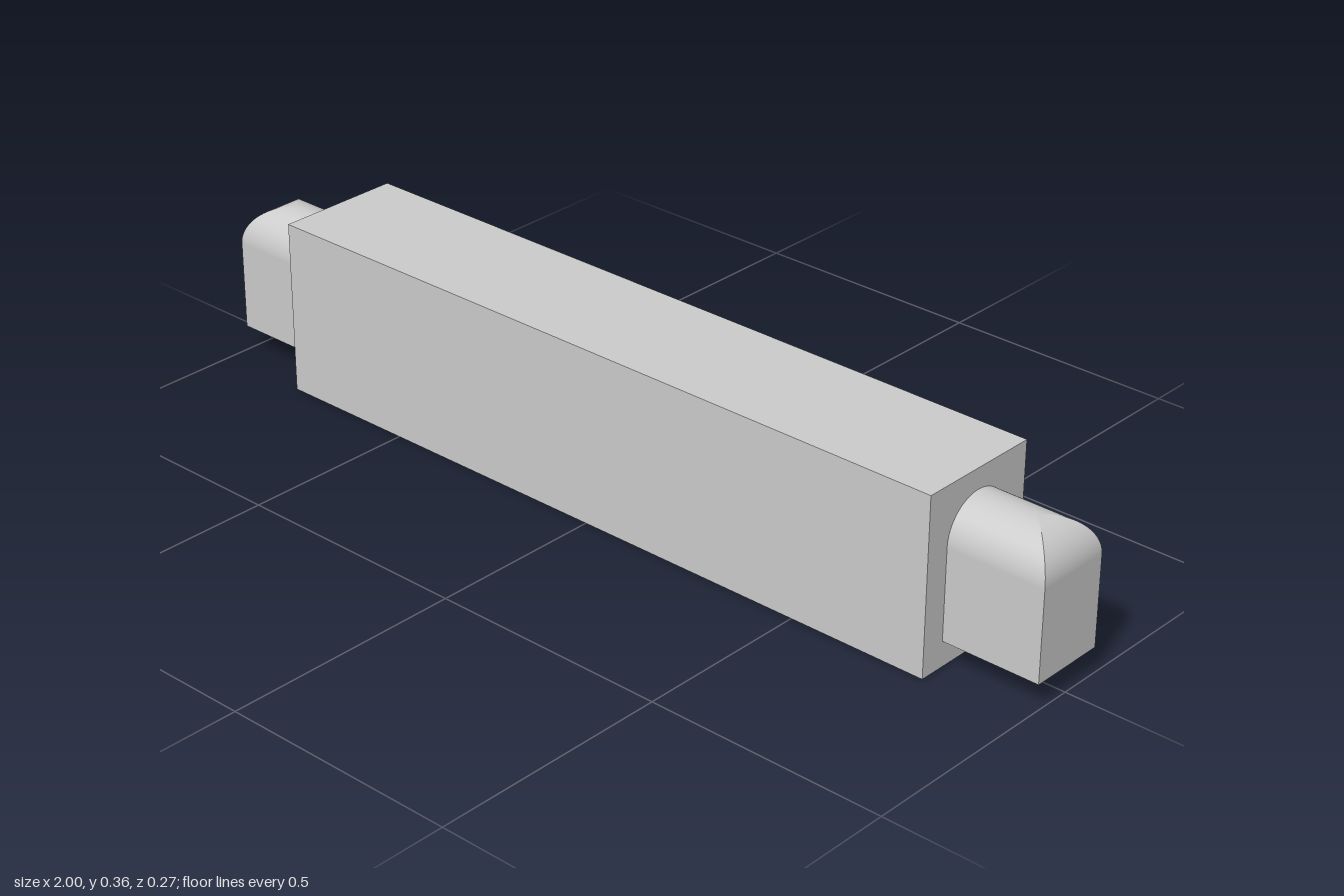
import * as THREE from 'three';

const BODY = { halfLength: 0.795, height: 0.363, depth: 0.267 };
const TENON = { bottom: 0.053, top: 0.32, radius: 0.081, end: 1 };
const STEPS = 20;

// Arched tenon whose rounded top also rolls over the free end, meeting in mitred edges
function tenonGeometry() {
  const { bottom, top, radius, end } = TENON;
  const x0 = BODY.halfLength;

  // Profile rows: height, half width, slope angle of the surface
  const rows = [{ y: bottom, w: radius, a: 0 }];
  for (let i = 0; i <= STEPS; i++) {
    const a = (i / STEPS) * Math.PI / 2;
    rows.push({ y: top - radius + radius * Math.sin(a), w: radius * Math.cos(a), a });
  }

  const positions = [], normals = [], indices = [];
  const addVertex = (p, n) => {
    positions.push(...p);
    normals.push(...n);
  };

  // Footprint corners of a row: front root, front tip, back tip, back root
  const corners = ({ y, w }) => {
    const tip = end - radius + w;
    return [[x0, y, w], [tip, y, w], [tip, y, -w], [x0, y, -w]];
  };

  // Front, end and back strips, each with its own smooth normals
  [[0, 1], [1, 0], [0, -1]].forEach(([nx, nz], side) => {
    rows.forEach((row, i) => {
      const c = corners(row);
      const n = [nx * Math.cos(row.a), Math.sin(row.a), nz * Math.cos(row.a)];
      const k = positions.length / 3;
      addVertex(c[side], n);
      addVertex(c[side + 1], n);
      if (i < rows.length - 1) indices.push(k, k + 1, k + 3, k, k + 3, k + 2);
    });
  });

  // Flat underside
  const k = positions.length / 3;
  corners(rows[0]).reverse().forEach((p) => addVertex(p, [0, -1, 0]));
  indices.push(k, k + 1, k + 2, k, k + 2, k + 3);

  const geometry = new THREE.BufferGeometry();
  geometry.setAttribute('position', new THREE.Float32BufferAttribute(positions, 3));
  geometry.setAttribute('normal', new THREE.Float32BufferAttribute(normals, 3));
  geometry.setIndex(indices);
  return geometry;
}

export function createModel() {
  const group = new THREE.Group();
  group.name = 'tenonedBeam';
  const material = new THREE.MeshStandardMaterial({ color: 0xcccccc });

  // Beam
  const beam = new THREE.Mesh(
    new THREE.BoxGeometry(BODY.halfLength * 2, BODY.height, BODY.depth), material);
  beam.name = 'beam';
  beam.position.y = BODY.height / 2;
  group.add(beam);

  // Tenon at each end
  const geometry = tenonGeometry();
  ['leftTenon', 'rightTenon'].forEach((name, i) => {
    const tenon = new THREE.Mesh(geometry, material);
    tenon.name = name;
    tenon.rotation.y = i * Math.PI;
    group.add(tenon);
  });

  return group;
}
